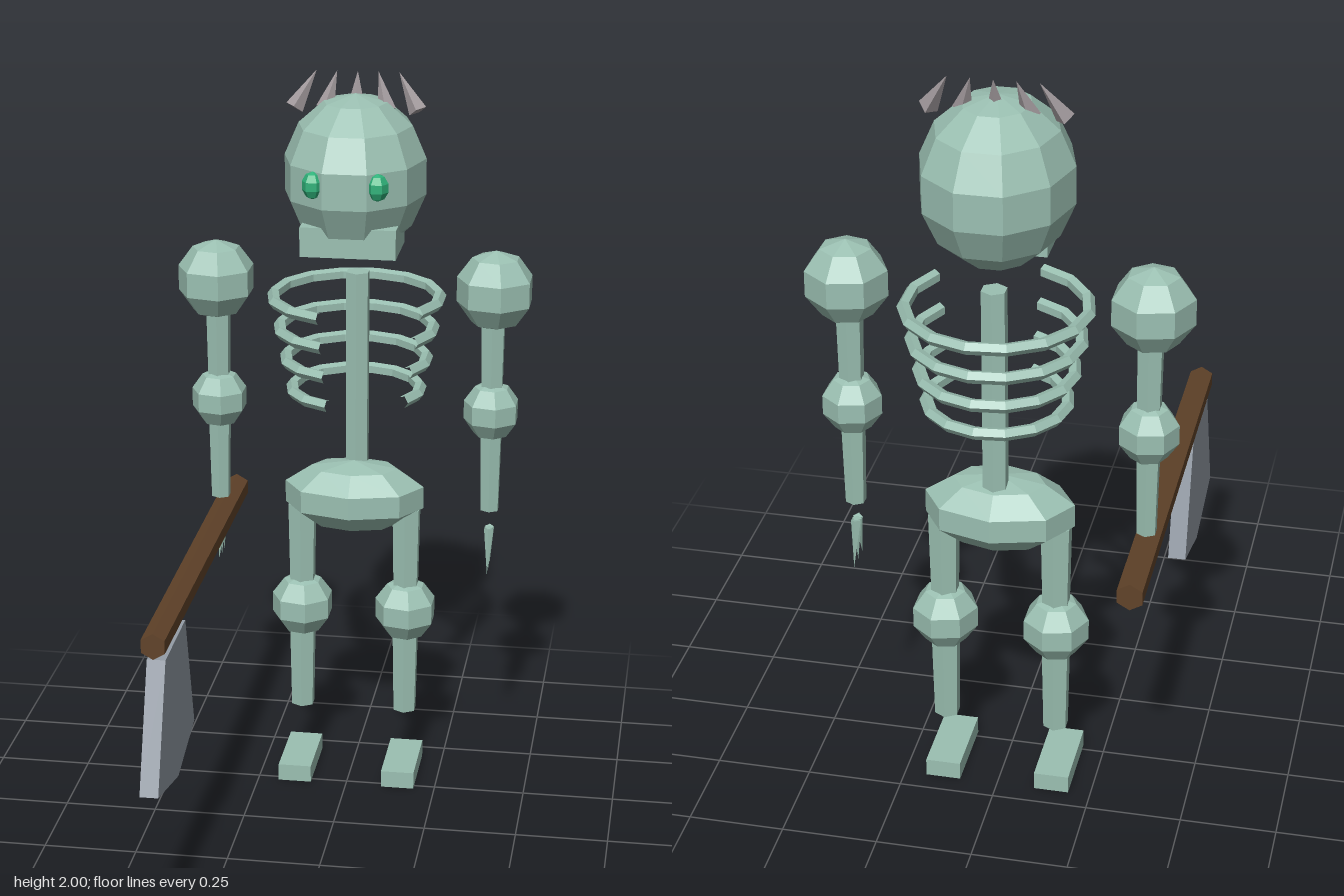
import * as THREE from 'three';

const mat = (name, color) => {
  const m = new THREE.MeshStandardMaterial({ color, flatShading: true });
  m.name = name;
  return m;
};

export function createModel() {
  const bone = mat('pale green bone', 0x9bc0b2);
  const eyeGreen = mat('glowing green', 0x2fb27a);
  const hornGrey = mat('horn grey', 0xa39b9e);
  const wood = mat('dark wood', 0x614329);
  const steel = mat('blade steel', 0x949ca6);

  const model = new THREE.Group();
  model.name = 'skeletonWarrior';
  const Z = -0.387; // depth of the body axis

  const add = (name, geometry, material, x = 0, y = 0, z = Z, parent = model) => {
    const mesh = new THREE.Mesh(geometry, material);
    mesh.name = name;
    mesh.position.set(x, y, z);
    parent.add(mesh);
    return mesh;
  };
  // Faceted ball with separate radii
  const ball = (rx, ry, rz, w = 7, h = 5) => new THREE.SphereGeometry(1, w, h).scale(rx, ry, rz);
  // Upright shaft between two heights
  const shaft = (name, rTop, rBottom, y0, y1, x, z, parent, sides = 6) =>
    add(name, new THREE.CylinderGeometry(rTop, rBottom, y1 - y0, sides), bone, x, (y0 + y1) / 2, z, parent);
  // Cone from the centre of its base to its tip
  const spike = (name, base, tip, r, sides, material, parent) => {
    const a = new THREE.Vector3(...base), b = new THREE.Vector3(...tip);
    const dir = b.clone().sub(a);
    const mid = a.clone().add(b).multiplyScalar(0.5);
    const mesh = add(name, new THREE.ConeGeometry(r, dir.length(), sides), material, mid.x, mid.y, mid.z, parent);
    mesh.quaternion.setFromUnitVectors(new THREE.Vector3(0, 1, 0), dir.normalize());
  };

  // Head
  const head = new THREE.Group();
  head.name = 'head';
  model.add(head);
  add('skull', ball(0.195, 0.217, 0.225, 10, 7), bone, 0, 1.727, Z, head);
  add('jaw', new THREE.BoxGeometry(0.255, 0.08, 0.185), bone, 0.003, 1.58, -0.312, head);
  for (const s of [-1, 1]) add('eye', ball(0.03, 0.037, 0.03, 6, 5), eyeGreen, s * 0.085, 1.74, -0.197, head);

  // Crown of spikes leaning inward and back
  for (let i = -2; i <= 2; i++) {
    spike('crownSpike', [i * 0.082, 1.9, -0.393], [i * 0.055, 1.995, -0.428], 0.025, 4, hornGrey, head);
  }

  // Spine and open ribs
  shaft('spine', 0.034, 0.034, 0.88, 1.45, 0.003, -0.42, model);
  for (let i = 0; i < 4; i++) {
    const geo = new THREE.TorusGeometry(0.227 - i * 0.017, 0.017, 5, 12, Math.PI * 1.6);
    geo.rotateZ(Math.PI * 0.6).rotateX(Math.PI / 2);
    add('rib', geo, bone, 0.004, 1.388 - i * 0.086, Z);
  }
  add('pelvis', ball(0.203, 0.1, 0.13, 8, 5), bone, 0, 0.818, Z);

  for (const s of [-1, 1]) {
    // Arm
    const arm = new THREE.Group();
    arm.name = s > 0 ? 'leftArm' : 'rightArm';
    model.add(arm);
    const ax = s * 0.376;
    add('shoulder', ball(0.11, 0.11, 0.11), bone, s * 0.38, 1.422, Z, arm);
    shaft('upperArm', 0.036, 0.031, 1.08, 1.4, ax, Z, arm);
    add('elbow', ball(0.08, 0.083, 0.08), bone, ax, 1.082, Z, arm);
    shaft('forearm', 0.033, 0.027, 0.795, 1.08, ax, Z, arm);
    for (const f of [-1, 0, 1]) {
      spike('finger', [ax, 0.74, Z + f * 0.01], [ax, 0.617, Z + f * 0.04], 0.013, 4, bone, arm);
    }

    // Leg
    const leg = new THREE.Group();
    leg.name = s > 0 ? 'leftLeg' : 'rightLeg';
    model.add(leg);
    const lx = s * 0.146;
    add('knee', ball(0.09, 0.09, 0.09), bone, lx, 0.482, Z, leg);
    shaft('thigh', 0.042, 0.036, 0.48, 0.785, lx, Z, leg);
    shaft('shin', 0.04, 0.034, 0.175, 0.48, lx, Z, leg);
    add('foot', new THREE.BoxGeometry(0.092, 0.048, 0.215), bone, lx, 0.024, -0.338, leg);
  }

  // Axe held forward in the right hand
  const axe = new THREE.Group();
  axe.name = 'axe';
  model.add(axe);
  add('axeHandle', new THREE.CylinderGeometry(0.035, 0.037, 1.152, 6).rotateX(Math.PI / 2),
    wood, -0.373, 0.739, -0.032, axe);

  // Blade outline in depth and height, extruded across its thickness
  const outline = [[0.513, 0.69], [0.264, 0.694], [0.175, 0.367], [0.39, 0.308], [0.635, 0.367]];
  const shape = new THREE.Shape(outline.map(([z, y]) => new THREE.Vector2(-z, y)));
  const blade = new THREE.ExtrudeGeometry(shape, { depth: 0.048, bevelEnabled: false });
  blade.translate(0, 0, -0.024).rotateY(Math.PI / 2);
  add('axeBlade', blade, steel, -0.372, 0, 0, axe);

  return model;
}
